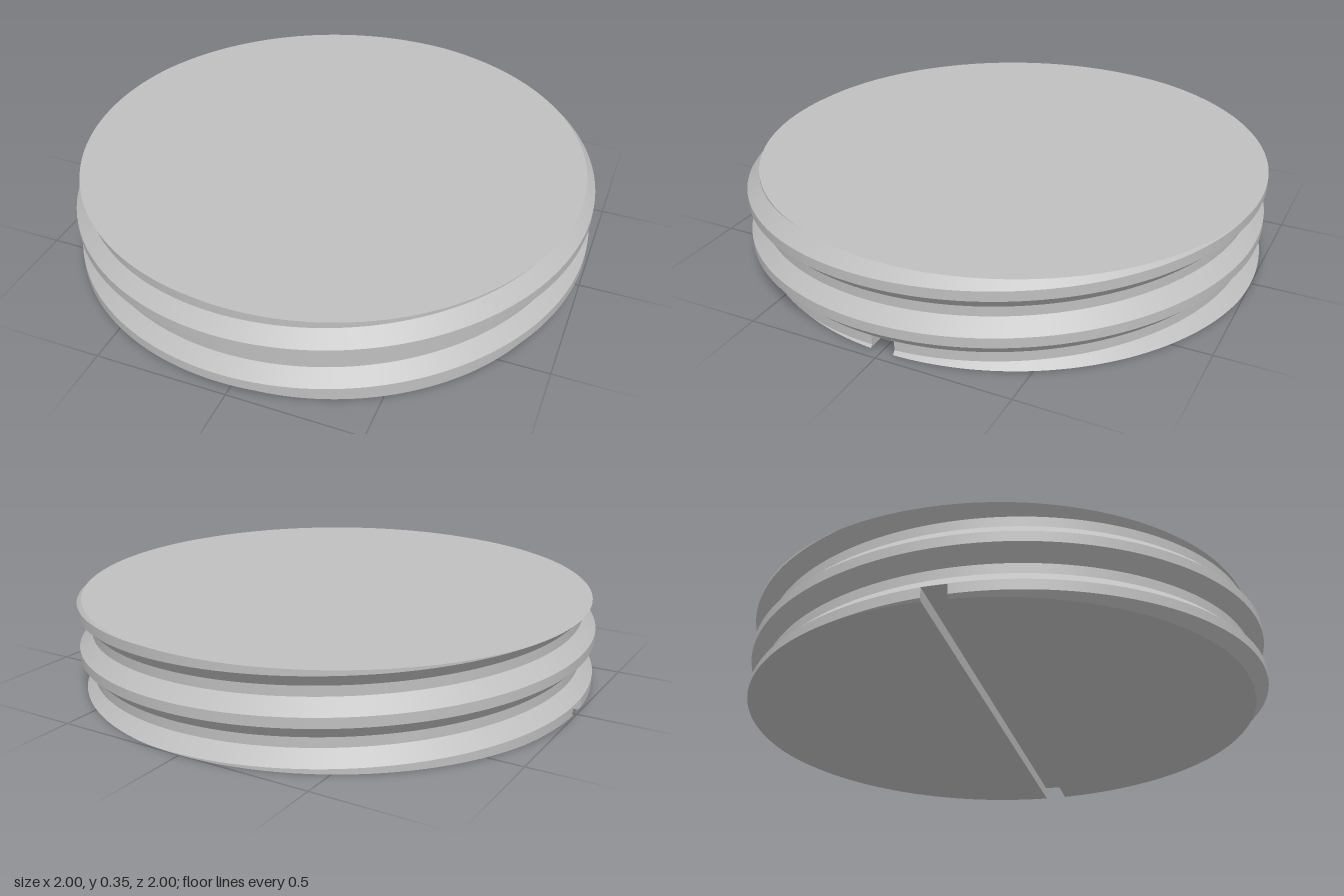
import * as THREE from 'three';
import { toCreasedNormals } from 'three/addons/utils/BufferGeometryUtils.js';

const H = 0.349, PITCH = 0.1745;            // plug height, thread pitch (two turns)
const CREST = 0.0375, FLANK = 0.05, DEPTH = 0.05; // thread profile
const SLOT_Z = 0.044, SLOT_H = 0.047;       // half width and depth of the slot
const ARC = 128, CUT = 6;                   // columns per half rim and per slot mouth

// height of the thread crest at an angle measured from +z towards +x
const crestY = a => 0.247 + PITCH * a / (2 * Math.PI);

function radius(a, y) {
  const t = (y - crestY(a)) / PITCH;
  const d = Math.abs(t - Math.round(t)) * PITCH;
  return 1 - DEPTH * THREE.MathUtils.clamp((d - CREST / 2) / FLANK, 0, 1);
}

// a column of the rim: by angle, or by fixed z where it borders the slot
function point(col, y) {
  const r = radius(col.a, y);
  if (col.z === undefined) return [r * Math.sin(col.a), y, r * Math.cos(col.a)];
  return [col.side * Math.sqrt(r * r - col.z * col.z), y, col.z];
}

// collects quads, dropping collapsed triangles
function surface(build) {
  const pos = [];
  const v = p => new THREE.Vector3(...p);
  const tri = (a, b, c) => {
    const n = v(b).sub(v(a)).cross(v(c).sub(v(a)));
    if (n.length() > 1e-8) pos.push(...a, ...b, ...c);
  };
  build((a, b, c, d) => { tri(a, b, c); tri(a, c, d); });
  const g = new THREE.BufferGeometry();
  g.setAttribute('position', new THREE.Float32BufferAttribute(pos, 3));
  return toCreasedNormals(g, Math.PI / 7);
}

// columns once round the rim: front half, right slot mouth, back half, left slot mouth
function makeColumns() {
  const cols = [], edge = Math.asin(SLOT_Z / 0.975);
  for (const side of [1, -1]) {
    const mid = side > 0 ? 0 : Math.PI, span = Math.PI / 2 - edge;
    for (let i = 0; i <= ARC; i++) {
      const col = { a: mid - span + 2 * span * i / ARC };
      if (i === 0) Object.assign(col, { z: side * SLOT_Z, side: -side });
      if (i === ARC) Object.assign(col, { z: side * SLOT_Z, side });
      cols.push(col);
    }
    for (let i = 1; i < CUT; i++) {
      const z = side * SLOT_Z * (1 - 2 * i / CUT);
      cols.push({ a: mid + Math.PI / 2 - Math.asin(side * z / 0.975), z, side });
    }
  }
  cols.push({ ...cols[0], a: cols[0].a + 2 * Math.PI });
  return cols;
}

export function createModel() {
  const group = new THREE.Group();
  const metal = new THREE.MeshStandardMaterial({ color: 0xbfbfbf });
  metal.name = 'grey metal';
  const add = (name, build) => {
    const mesh = new THREE.Mesh(surface(build), metal);
    mesh.name = name;
    group.add(mesh);
  };

  const cols = makeColumns(), HALF = ARC + CUT;
  const inSlot = i => i % HALF >= ARC;

  // helical thread: crest, flank, root and flank strips clipped to the plug height
  add('threadedRim', quad => {
    const steps = [-CREST / 2, CREST / 2, CREST / 2 + FLANK, PITCH - CREST / 2 - FLANK, PITCH - CREST / 2];
    for (let i = 0; i < cols.length - 1; i++) {
      const c = cols[i], d = cols[i + 1], low = inSlot(i) ? SLOT_H : 0;
      const at = (col, k, s) =>
        point(col, THREE.MathUtils.clamp(crestY(col.a) + k * PITCH + steps[s], low, H));
      for (let k = -4; k <= 2; k++)
        for (let s = 0; s < 4; s++)
          quad(at(c, k, s), at(d, k, s), at(d, k, s + 1), at(c, k, s + 1));
    }
  });

  // flat top disc
  add('topFace', quad => {
    for (let i = 0; i < cols.length - 1; i++) {
      const p = point(cols[i], H), q = point(cols[i + 1], H);
      quad([0, H, 0], p, q, q);
    }
  });

  // two half discs underneath, either side of the slot
  add('bottomFace', quad => {
    for (const [start, z] of [[0, SLOT_Z], [HALF, -SLOT_Z]])
      for (let i = start; i < start + ARC; i++) {
        const p = point(cols[i], 0), q = point(cols[i + 1], 0);
        quad(p, [p[0], 0, z], [q[0], 0, z], q);
      }
  });

  // straight slot across the underside
  add('driverSlot', quad => {
    for (let j = 0; j < CUT; j++) {
      const right = k => point(cols[ARC + k], SLOT_H);
      const left = k => point(cols[HALF + ARC + CUT - k], SLOT_H);
      quad(left(j), left(j + 1), right(j + 1), right(j));
    }
    const rows = 12;
    for (let j = 0; j < rows; j++) {
      const y0 = SLOT_H * j / rows, y1 = SLOT_H * (j + 1) / rows;
      const frontR = cols[ARC], frontL = cols[0], backR = cols[HALF], backL = cols[HALF + ARC];
      quad(point(frontR, y0), point(frontL, y0), point(frontL, y1), point(frontR, y1));
      quad(point(backL, y0), point(backR, y0), point(backR, y1), point(backL, y1));
    }
  });

  return group;
}
